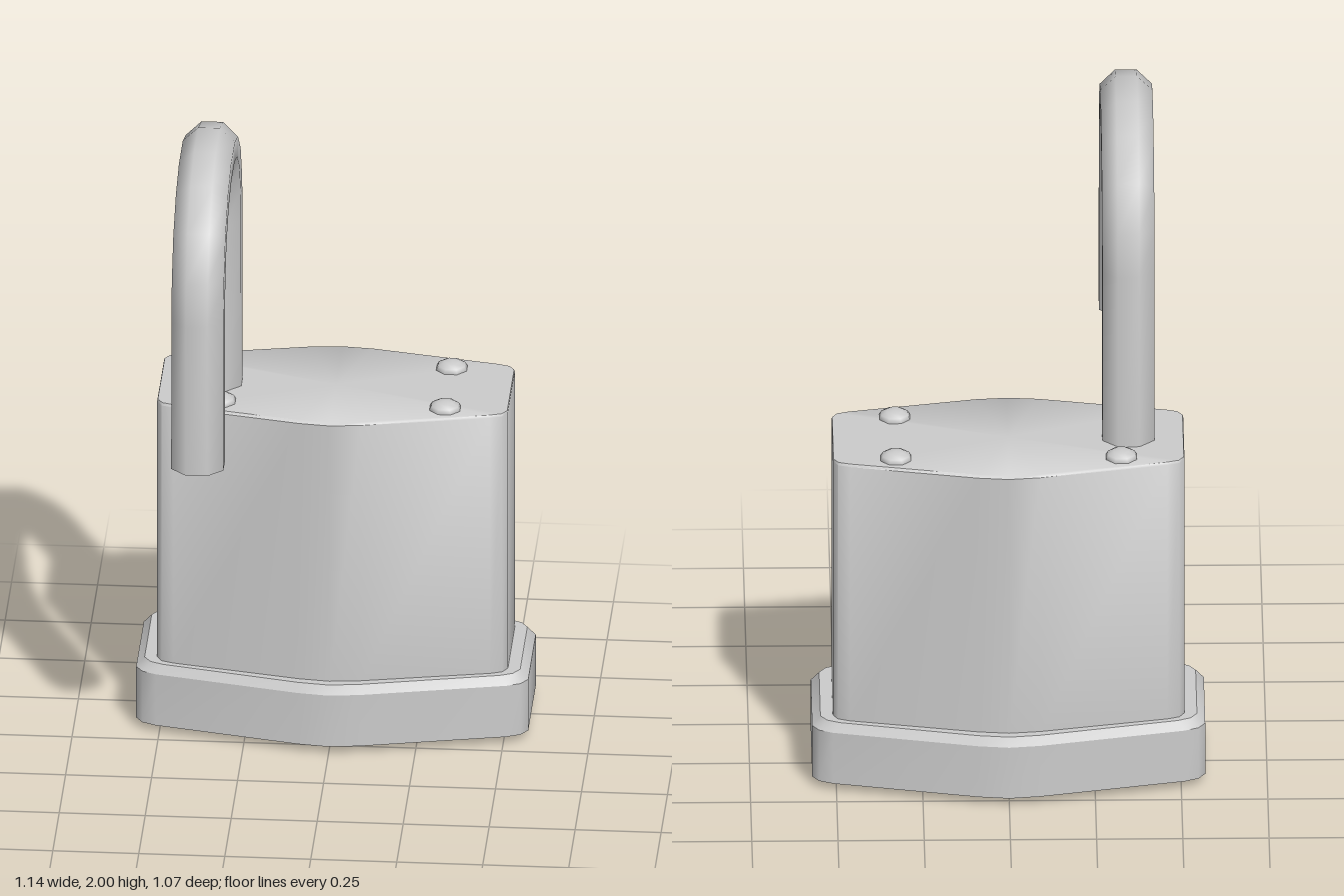
import * as THREE from 'three';
import { toCreasedNormals } from 'three/addons/utils/BufferGeometryUtils.js';

const grey = new THREE.MeshStandardMaterial({ color: 0xcccccc });
const greyDouble = new THREE.MeshStandardMaterial({ color: 0xcccccc, side: THREE.DoubleSide });

function add(parent, name, geometry, material = grey) {
  const mesh = new THREE.Mesh(geometry, material);
  mesh.name = name;
  parent.add(mesh);
  return mesh;
}

// Mirrors a quarter profile of [x, z] points (apex first) into a closed outline
function outline(quarter) {
  const half = [...quarter, ...quarter.map(([x, z]) => [x, -z]).reverse()];
  const other = half.slice(1, -1).reverse().map(([x, z]) => [-x, z]);
  return [...half, ...other];
}

const ringAt = (points, y) => points.map(([x, z]) => new THREE.Vector3(x, y, z));

// Skins convex rings of equal length and closes the chosen ends with fans
function loft(rings, crease, capStart = true, capEnd = true) {
  const pos = [];
  const tri = (a, b, c) => pos.push(...a.toArray(), ...b.toArray(), ...c.toArray());
  const n = rings[0].length;
  for (let r = 0; r < rings.length - 1; r++) {
    for (let i = 0; i < n; i++) {
      const j = (i + 1) % n;
      const [a, b, c, d] = [rings[r][i], rings[r][j], rings[r + 1][j], rings[r + 1][i]];
      tri(a, b, c);
      tri(a, c, d);
    }
  }
  const cap = (ring, flip) => {
    const mid = ring.reduce((s, p) => s.add(p), new THREE.Vector3()).divideScalar(n);
    for (let i = 0; i < n; i++) {
      const j = (i + 1) % n;
      if (flip) tri(mid, ring[j], ring[i]);
      else tri(mid, ring[i], ring[j]);
    }
  };
  if (capStart) cap(rings[0], true);
  if (capEnd) cap(rings[rings.length - 1], false);
  const g = new THREE.BufferGeometry();
  g.setAttribute('position', new THREE.Float32BufferAttribute(pos, 3));
  g.computeVertexNormals();
  return toCreasedNormals(g, crease);
}

// Rings run from +z through +x to -z, which is anticlockwise seen from above
function makeBody(parent) {
  const wide = outline([[0, 0.26], [0.09, 0.25], [0.46, 0.174], [0.495, 0.161], [0.51, 0.135]]);
  const top = outline([[0, 0.25], [0.09, 0.242], [0.46, 0.168], [0.493, 0.157], [0.508, 0.135]]);
  add(parent, 'body', loft([ringAt(wide, 0.21), ringAt(wide, 1.043), ringAt(top, 1.05)], 0.75));
}

function makeBase(parent) {
  const outer = outline([[0, 0.298], [0.09, 0.287], [0.51, 0.195], [0.55, 0.177], [0.57, 0.147]]);
  const inner = outline([[0, 0.285], [0.09, 0.274], [0.49, 0.185], [0.527, 0.168], [0.546, 0.14]]);
  add(parent, 'base', loft([ringAt(outer, 0.025), ringAt(outer, 0.19)], 0.75, false, false));
  add(parent, 'baseChamfer', loft([ringAt(outer, 0.19), ringAt(inner, 0.218)], 0.75, false));

  // Underside with a round opening for the lock
  const shape = new THREE.Shape(outer.map(([x, z]) => new THREE.Vector2(x, z)));
  shape.holes.push(new THREE.Path().absarc(0, 0, 0.19, 0, Math.PI * 2, true));
  const under = add(parent, 'baseUnderside', new THREE.ShapeGeometry(shape, 12).rotateX(Math.PI / 2));
  under.position.y = 0.025;
}

function makeLock(parent) {
  // Sloping recess with a floor behind the slot
  const profile = [[0, 0.13], [0.145, 0.13], [0.145, 0.07], [0.19, 0.025]].map(p => new THREE.Vector2(...p));
  add(parent, 'lockRecess', toCreasedNormals(new THREE.LatheGeometry(profile, 24), 0.6), greyDouble);

  // Disc with the key slot
  const disc = new THREE.Shape().absarc(0, 0, 0.145, 0, Math.PI * 2);
  const [w, l] = [0.03, 0.135];
  const corners = [[-w, -l], [-w, l], [w, l], [w, -l]].map(p => new THREE.Vector2(...p));
  disc.holes.push(new THREE.Path(corners));
  const g = new THREE.ExtrudeGeometry(disc, { depth: 0.058, bevelEnabled: false, curveSegments: 12 });
  add(parent, 'lockDisc', g.rotateX(Math.PI / 2)).position.y = 0.128;
}

function makeRivets(parent) {
  const g = new THREE.SphereGeometry(0.048, 8, 6).rotateY(Math.PI / 8).scale(1, 0.025 / 0.048, 1);
  for (const y of [0.025, 1.05])
    for (const x of [-0.327, 0.327])
      for (const z of [-0.1325, 0.1325])
        add(parent, y > 1 ? 'topRivet' : 'bottomRivet', g).position.set(x, y, z);
}

// Eight-sided bent bar: one leg in the body, the other hanging free in front
function makeShackle(parent) {
  const arc = [[0.344, 1.59], [0.328, 1.705], [0.275, 1.815], [0.18, 1.893], [0.07, 1.93]];
  const path = [[-0.352, 0.98], ...arc.map(([z, y]) => [-z, y]),
    ...[...arc].reverse(), [0.35, 1.12]].map(([z, y]) => new THREE.Vector3(0, y, z));
  const side = new THREE.Vector3(1, 0, 0);
  const rings = path.map((p, i) => {
    const before = path[Math.max(i - 1, 0)], after = path[Math.min(i + 1, path.length - 1)];
    const along = after.clone().sub(p).normalize().add(p.clone().sub(before).normalize()).normalize();
    const out = along.clone().cross(side);
    return Array.from({ length: 8 }, (_, k) => {
      const a = (k + 0.5) * Math.PI / 4;
      return p.clone().addScaledVector(side, 0.082 * Math.cos(a)).addScaledVector(out, 0.076 * Math.sin(a));
    });
  });
  add(parent, 'shackle', loft(rings, 1)).position.set(-0.349, 0, 0.115);
}

export function createModel() {
  const model = new THREE.Group();
  model.name = 'padlock';
  const caseGroup = new THREE.Group();
  caseGroup.name = 'lockCase';
  caseGroup.position.z = -0.2375;
  model.add(caseGroup);
  makeBody(caseGroup);
  makeBase(caseGroup);
  makeLock(caseGroup);
  makeRivets(caseGroup);
  makeShackle(model);
  return model;
}
